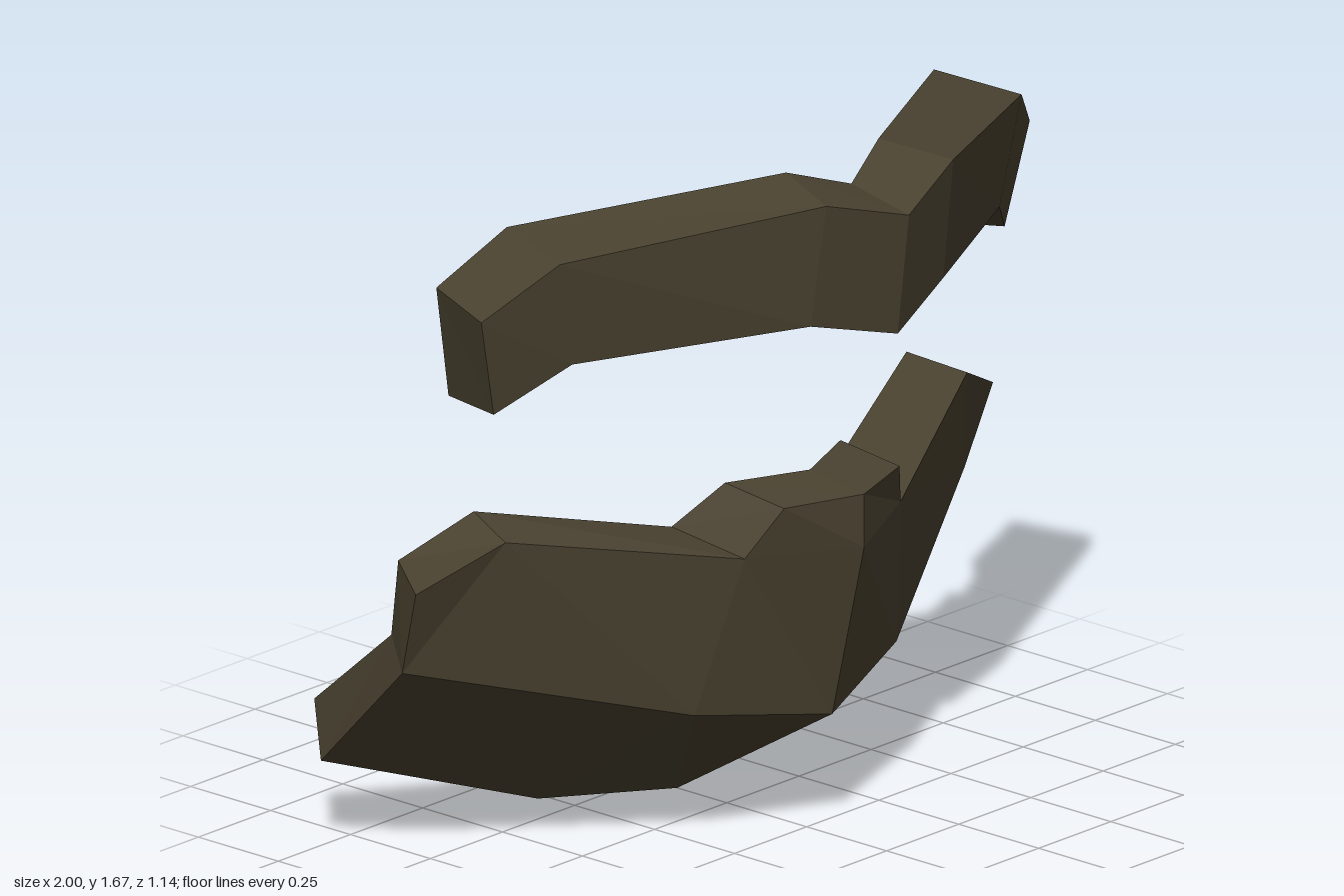
import * as THREE from 'three';

const armor = new THREE.MeshStandardMaterial({ color: 0x4a4230, side: THREE.DoubleSide });
armor.name = 'dark olive';

// Flat-faced mesh from quads, dropping triangles that collapse to a line
function quadMesh(name, quads) {
  const pos = [];
  const tri = (a, b, c) => {
    const [p, q, r] = [a, b, c].map((v) => new THREE.Vector3(...v));
    if (q.sub(p).cross(r.sub(p)).length() > 1e-6) pos.push(...a, ...b, ...c);
  };
  for (const [a, b, c, d] of quads) {
    tri(a, b, c);
    tri(a, c, d);
  }
  const geo = new THREE.BufferGeometry();
  geo.setAttribute('position', new THREE.Float32BufferAttribute(pos, 3));
  geo.computeVertexNormals();
  const mesh = new THREE.Mesh(geo, armor);
  mesh.name = name;
  return mesh;
}

const flip = ([x, y, z]) => [-x, y, z];

// Half row (centre to left end) mirrored to a full row
const fullRow = (half) => [...half.slice(1).reverse().map(flip), ...half];

// Surface between successive rows, listed from top back round to bottom back
function shell(name, halfRows) {
  const rows = halfRows.map(fullRow);
  const quads = [];
  for (let r = 0; r < rows.length - 1; r++) {
    for (let i = 0; i < rows[r].length - 1; i++) {
      quads.push([rows[r][i], rows[r + 1][i], rows[r + 1][i + 1], rows[r][i + 1]]);
    }
  }
  return quadMesh(name, quads);
}

// End plates on both sides
function ends(name, quads) {
  return quadMesh(name, [...quads, ...quads.map((q) => q.map(flip).reverse())]);
}

export function createModel() {
  const model = new THREE.Group();
  model.name = 'faceGuard';

  // Brow band: open at the back
  const browTopBack = [[0, 1.62, 0.39], [0.16, 1.675, 0.33], [0.74, 1.61, -0.02], [0.89, 1.48, -0.105]];
  const browTopFront = [[0, 1.585, 0.57], [0.22, 1.65, 0.51], [0.8, 1.585, 0.2], [0.95, 1.455, 0.09]];
  const browLowFront = [[0, 1.285, 0.535], [0.23, 1.347, 0.47], [0.74, 1.32, 0.185], [0.885, 1.207, 0.07]];
  const browLowBack = [[0, 1.248, 0.315], [0.2, 1.295, 0.255], [0.68, 1.277, -0.01], [0.82, 1.19, -0.13]];
  const brow = new THREE.Group();
  brow.name = 'browBand';
  brow.add(
    shell('browShell', [browTopBack, browTopFront, browLowFront, browLowBack]),
    ends('browEnds', [[browTopFront[3], browLowFront[3], browLowBack[3], browTopBack[3]]])
  );
  model.add(brow);

  // Jaw guard: columns are centre, tab corner, notch, cheek, end
  const notch = [0.27, 0.745, 0.3], cheek = [0.8, 0.86, 0.03], tip = [1, 0.76, -0.07];
  const topBack = [[0, 0.885, 0.26], [0.2, 0.885, 0.175], [0.28, 0.775, 0.08], [0.75, 0.89, -0.115], [0.9, 0.785, -0.215]];
  const topFront = [[0, 0.865, 0.43], [0.2, 0.865, 0.36], notch, cheek, tip];
  const middle = [[0, 0.735, 0.43], notch, notch, cheek, tip];
  // Lower rows have three points, repeated to match the five columns
  const widen = ([a, b, c]) => [a, b, b, c, c];
  const ridge = widen([[0, 0.3, 0.33], [0.35, 0.36, 0.215], [0.975, 0.545, -0.135]]);
  const bottom = widen([[0, 0.003, -0.155], [0.35, 0.04, -0.275], [0.88, 0.225, -0.475]]);
  const rim = widen([[0, 0.12, -0.265], [0.35, 0.214, -0.398], [0.8, 0.335, -0.568]]);
  const innerCorner = [0.885, 0.59, -0.25];
  const jaw = new THREE.Group();
  jaw.name = 'jawGuard';
  jaw.add(
    shell('jawShell', [topBack, topFront, middle, ridge, bottom, rim]),
    ends('jawEnds', [
      [tip, ridge[4], innerCorner, topBack[4]],
      [ridge[4], bottom[4], rim[4], innerCorner],
    ])
  );
  model.add(jaw);

  return model;
}
